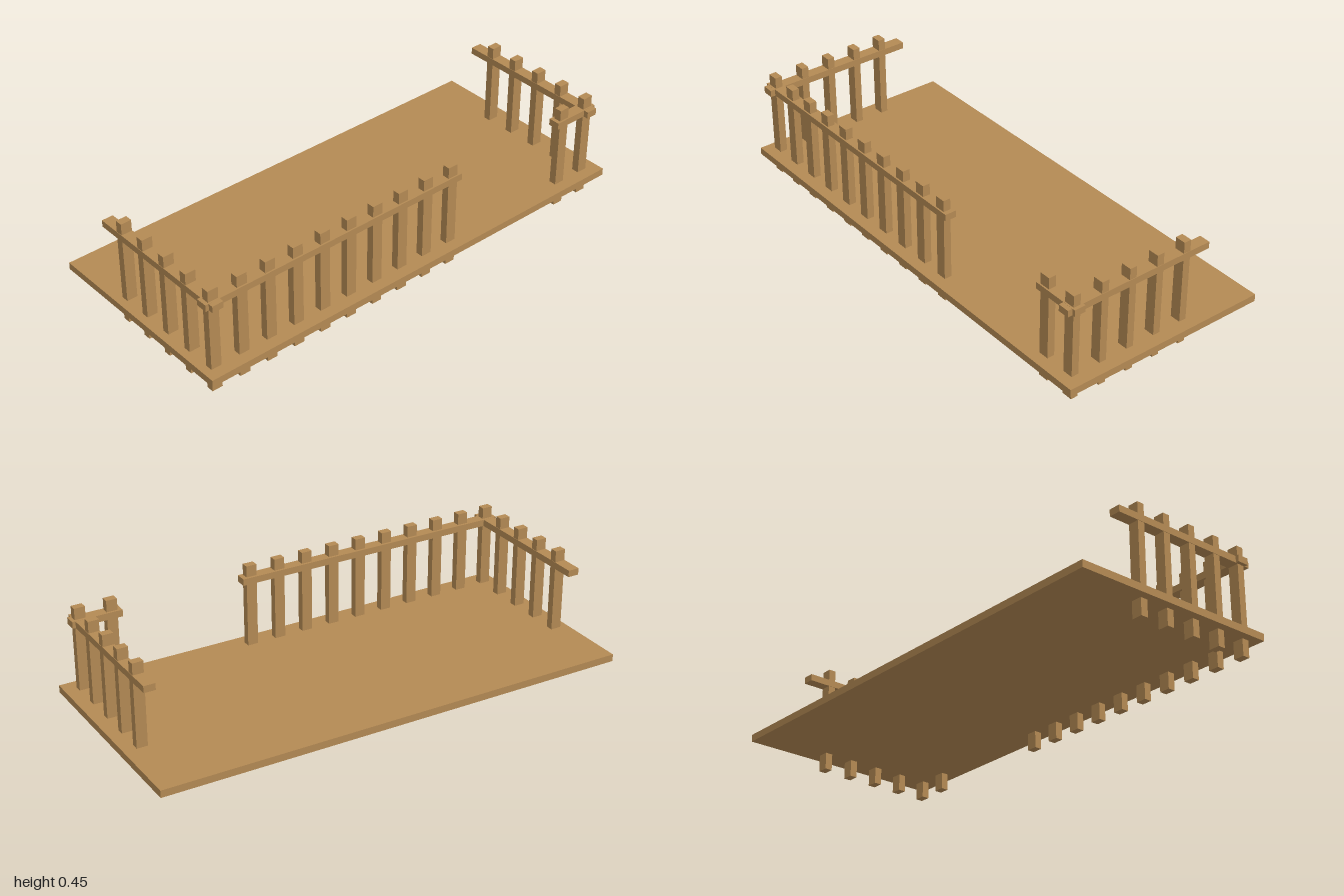
import * as THREE from 'three';

export function createModel() {
  const group = new THREE.Group();
  const wood = new THREE.MeshStandardMaterial({ color: 0xb48a54 });
  wood.name = 'wood';

  // Box given by its limits on each axis
  const box = (name, [x0, x1], [y0, y1], [z0, z1]) => {
    const mesh = new THREE.Mesh(new THREE.BoxGeometry(x1 - x0, y1 - y0, z1 - z0), wood);
    mesh.position.set((x0 + x1) / 2, (y0 + y1) / 2, (z0 + z1) / 2);
    mesh.name = name;
    group.add(mesh);
  };
  const post = (x, z) =>
    box('post', [x - 0.0155, x + 0.0155], [0, 0.45], [z - 0.0225, z + 0.0225]);

  const step = 0.1277, cornerX = 0.383;
  const frontZ = 0.944, backZ = -0.925;
  const railY = [0.374, 0.402], sideX = [0.357, 0.405];

  // Floor
  box('deck', [-0.447, 0.447], [0.07, 0.1], [-1, 1]);

  // End fences, including the corner posts
  for (const [name, z] of [['frontRail', frontZ], ['backRail', backZ]]) {
    for (let i = 0; i < 5; i++) post(cornerX - i * step, z);
    box(name, [-0.235, 0.425], railY, [z - 0.024, z + 0.024]);
  }

  // Long side fence, and the short return beyond the opening
  for (let i = 1; i < 10; i++) post(cornerX, frontZ - i * 0.126);
  post(cornerX, -0.793);
  box('longSideRail', sideX, [0.3745, 0.4025], [-0.232, 0.982]);
  box('shortSideRail', sideX, [0.3745, 0.4025], [-0.962, -0.754]);

  return group;
}
